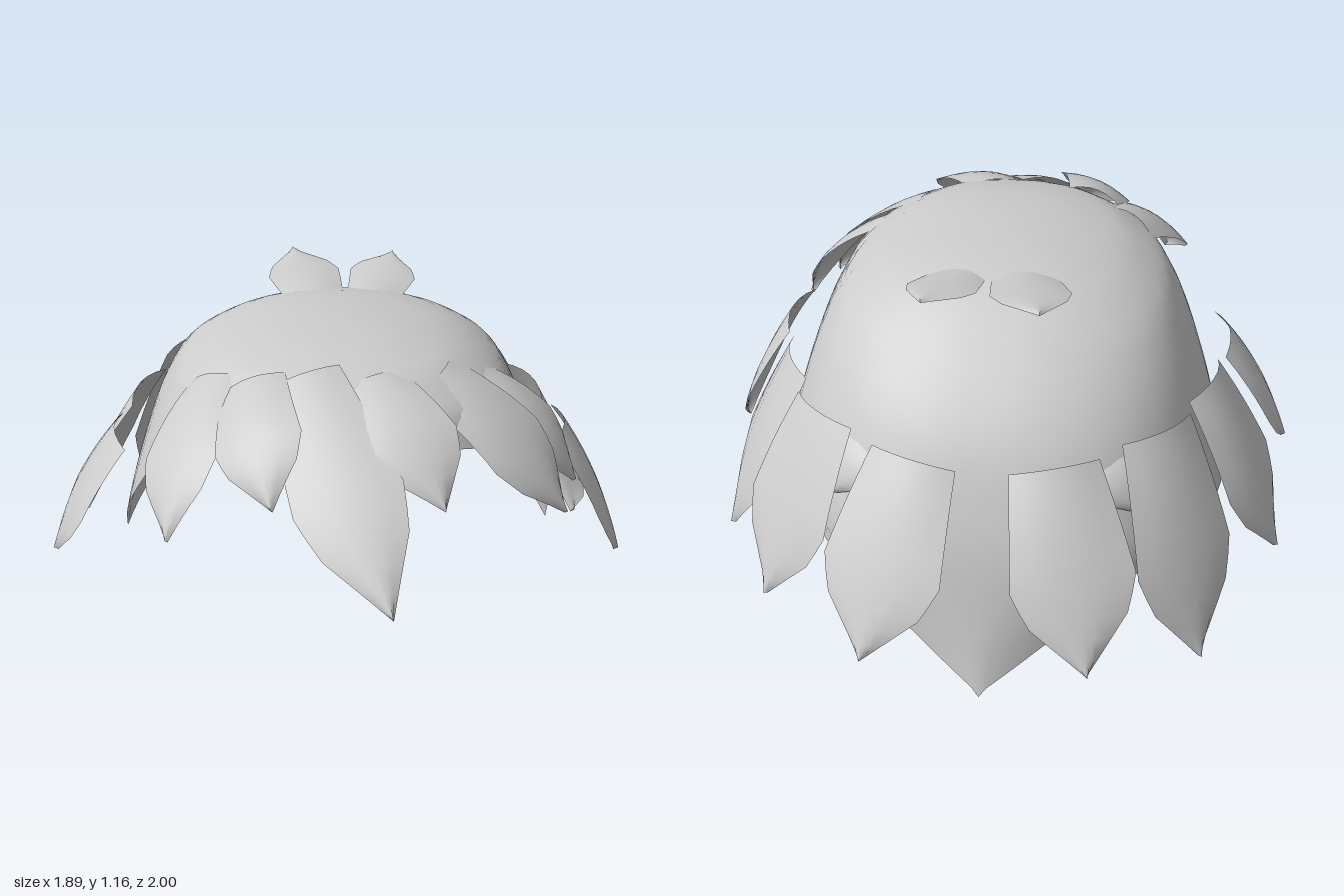
import * as THREE from 'three';

const hair = new THREE.MeshStandardMaterial({ color: 0xcccccc, side: THREE.DoubleSide });
hair.name = 'hair grey';

// Piecewise-linear lookup: keys are [position, value, value, ...]
function lookup(keys, p) {
  let i = 0;
  while (i < keys.length - 2 && p > keys[i + 1][0]) i++;
  const a = keys[i], b = keys[i + 1];
  const t = THREE.MathUtils.clamp((p - a[0]) / (b[0] - a[0]), 0, 1);
  return a.slice(1).map((v, k) => v + (b[k + 1] - v) * t);
}

// Smooth sheet from a rows x cols grid of points
function sheet(name, rows, cols, point) {
  const pos = [], index = [];
  for (let r = 0; r <= rows; r++)
    for (let c = 0; c <= cols; c++) pos.push(...point(r / rows, c / cols));
  for (let r = 0; r < rows; r++)
    for (let c = 0; c < cols; c++) {
      const a = r * (cols + 1) + c, b = a + cols + 1;
      index.push(a, a + 1, b, a + 1, b + 1, b);
    }
  const geo = new THREE.BufferGeometry();
  geo.setAttribute('position', new THREE.Float32BufferAttribute(pos, 3));
  geo.setIndex(index);
  geo.computeVertexNormals();
  const mesh = new THREE.Mesh(geo, hair);
  mesh.name = name;
  return mesh;
}

// Cap sections: depth below crown (square root), half width, front z, back z
const TOP = 1.125;
const SECTIONS = [
  [0, 0, 0.06, 0.06], [0.12, 0.2, 0.3, -0.2], [0.235, 0.36, 0.45, -0.3],
  [0.38, 0.5, 0.56, -0.43], [0.52, 0.57, 0.61, -0.57], [0.61, 0.61, 0.62, -0.65],
  [0.79, 0.69, 0.62, -0.76], [0.92, 0.74, 0.62, -0.81], [1.061, 0.77, 0.62, -0.87],
];
// Rim height by angle fraction, from the nape point (0) to the hairline (1)
const RIM = [
  [0, 0], [0.0625, 0.075], [0.125, 0.19], [0.25, 0.41],
  [0.45, 0.28], [0.625, 0.73], [0.75, 0.86], [1, 0.95],
];

function capPoint(t, c) {
  const turn = c * 2 - 1, a = turn * Math.PI;
  const rim = lookup(RIM, Math.abs(turn))[0];
  const u = t * Math.sqrt(TOP - rim);
  const [w, front, back] = lookup(SECTIONS, u);
  // Squarish sections above, flattening to straight planes at the nape point
  const power = 0.83 + 0.6 * THREE.MathUtils.clamp((u - 0.845) / 0.216, 0, 1);
  const round = v => Math.sign(v) * Math.abs(v) ** power;
  const k = -round(Math.cos(a));
  const mid = 0.06 * Math.max(0, 1 - u / 0.5);
  const z = mid + (k > 0 ? k * (front - mid) : -k * (back - mid));
  return [w * round(Math.sin(a)), TOP - u * u, z];
}

// Pointed lock outline: half-width fraction along the length
const OUTLINE = [[0, 0.72], [0.3, 0.88], [0.55, 1], [0.72, 0.8], [1, 0]];

// Bowed, pointed lock from root to tip
function lock(name, root, tip, width, bulge = 0.022, bow = 0.035) {
  const a = new THREE.Vector3(...root), b = new THREE.Vector3(...tip);
  const mid = a.clone().lerp(b, 0.5);
  const out = new THREE.Vector3(mid.x, mid.y - 0.45, mid.z).normalize();
  const along = b.clone().sub(a).normalize();
  const side = new THREE.Vector3().crossVectors(along, out).normalize();
  const normal = new THREE.Vector3().crossVectors(side, along).normalize();
  return sheet(name, 11, 6, (t, c) => {
    const v = c * 2 - 1, half = lookup(OUTLINE, t)[0] * width / 2;
    const lift = bulge * 4 * t * (1 - t) - bow * v * v * (1 - t * 0.5);
    return a.clone().lerp(b, t).addScaledVector(side, v * half)
      .addScaledVector(normal, lift).toArray();
  });
}

export function createModel() {
  const model = new THREE.Group();
  model.name = 'leafyHair';
  model.add(sheet('hairCap', 20, 80, capPoint));

  // Side and back locks: shared roots, slightly different tips left and right
  const ring = [
    ['sideFrontLock', [0.72, 0.76, 0.08], [0.94, 0.28, 0.1], [0.95, 0.33, 0.1], 0.37],
    ['sideRearLock', [0.66, 0.78, -0.22], [0.89, 0.17, -0.35], [0.91, 0.23, -0.35], 0.38],
    ['backCornerLock', [0.51, 0.81, -0.53], [0.67, 0.26, -0.75], [0.67, 0.12, -0.75], 0.37],
    ['backLock', [0.21, 0.78, -0.69], [0.33, 0.27, -1], [0.33, 0.27, -1], 0.37],
    ['innerLock', [0.4, 0.75, -0.52], [0.46, 0.57, -0.62], [0.46, 0.57, -0.62], 0.3],
  ];
  for (const [name, root, left, right, width] of ring) {
    const mirror = p => [-p[0], p[1], p[2]];
    model.add(lock(name + 'Left', root, left, width));
    model.add(lock(name + 'Right', mirror(root), mirror(right), width));
  }

  // Swept fringe, from the model's right to its left
  const fringe = [
    [[-0.39, 1.04, 0.3], [-0.52, 0.71, 0.7], 0.26],
    [[-0.27, 1.07, 0.4], [-0.22, 0.84, 0.77], 0.26],
    [[-0.13, 1.09, 0.43], [0.1, 0.63, 1.0], 0.32],
    [[0.07, 1.08, 0.43], [0.26, 0.83, 0.77], 0.28],
    [[0.28, 1.06, 0.37], [0.66, 0.66, 0.5], 0.28],
    [[0.42, 1.01, 0.28], [0.72, 0.67, 0.32], 0.24],
  ];
  fringe.forEach(([root, tip, width], i) =>
    model.add(lock('fringeLock' + (i + 1), root, tip, width, 0.05, 0.03)));

  // Two small tufts lifting off the crown
  model.add(lock('crownTuftRight', [-0.06, 1.1, -0.14], [-0.14, 1.16, -0.48], 0.24, 0, 0.02));
  model.add(lock('crownTuftLeft', [0.11, 1.1, -0.16], [0.2, 1.155, -0.44], 0.22, 0, 0.02));
  return model;
}
